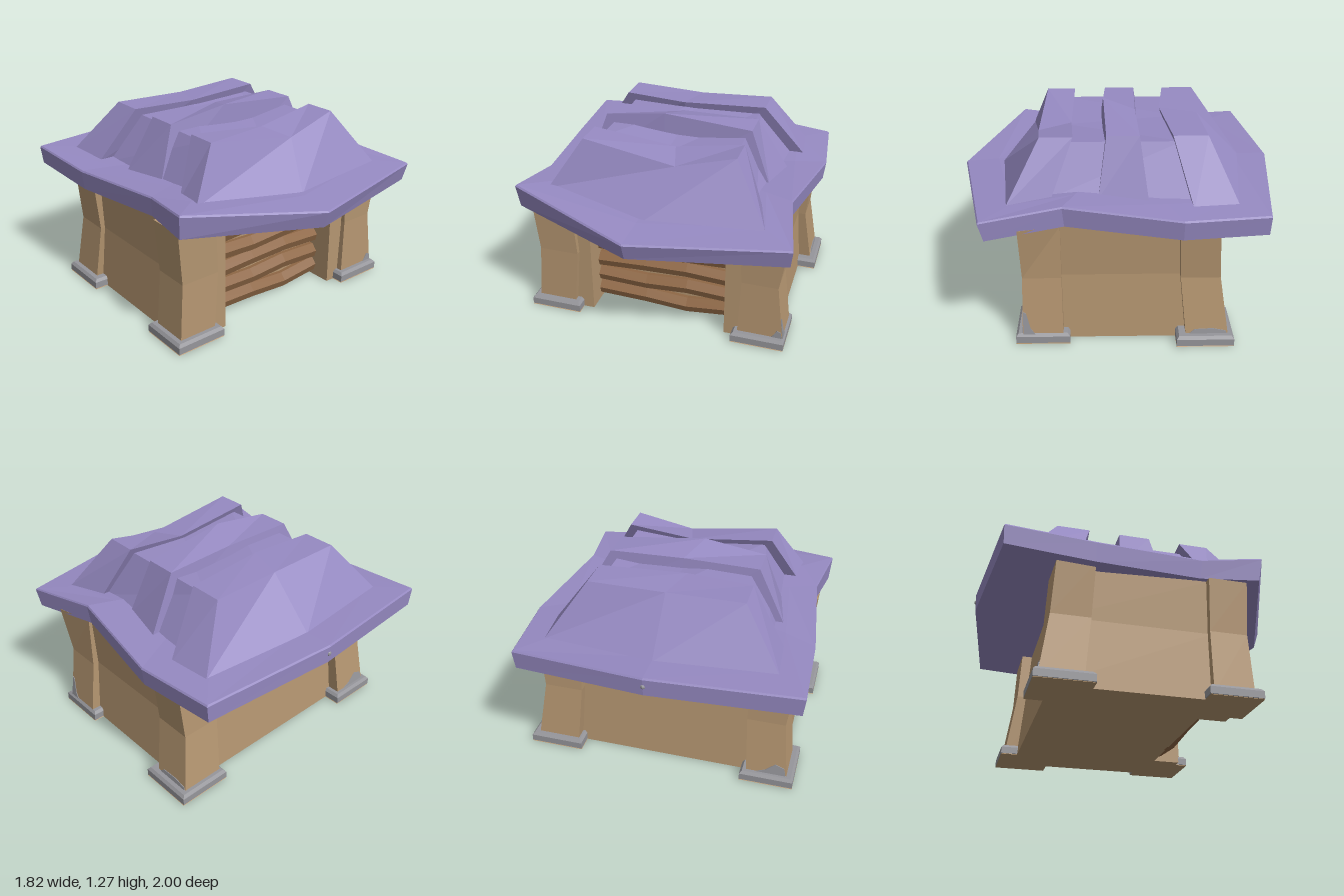
import * as THREE from 'three';

const mat = (name, color) => {
  const m = new THREE.MeshStandardMaterial({ color, flatShading: true });
  m.name = name;
  return m;
};

// Closed solid from rings of [x, y, z] points, counter-clockwise seen from the last ring's side.
// Caps are fans about the centre, or strips for six-point ridge outlines.
function loft(rings) {
  const pos = [];
  const tri = (a, b, c) => pos.push(...a, ...b, ...c);
  const n = rings[0].length;
  const centre = (r) => [0, 1, 2].map((k) => r.reduce((s, p) => s + p[k], 0) / n);
  const cap = (r) => {
    if (n === 6) {
      for (const [a, b, c, d] of [[0, 1, 4, 5], [1, 2, 3, 4]]) {
        tri(r[a], r[b], r[c]);
        tri(r[a], r[c], r[d]);
      }
    } else {
      const c = centre(r);
      r.forEach((p, i) => tri(c, p, r[(i + 1) % n]));
    }
  };
  for (let k = 0; k < rings.length - 1; k++) {
    const a = rings[k], b = rings[k + 1];
    for (let i = 0; i < n; i++) {
      const j = (i + 1) % n;
      tri(a[i], a[j], b[j]);
      tri(a[i], b[j], b[i]);
    }
  }
  cap(rings[rings.length - 1]);
  const first = rings[0], c0 = centre(first);
  first.forEach((p, i) => tri(c0, first[(i + 1) % n], p));
  const g = new THREE.BufferGeometry();
  g.setAttribute('position', new THREE.Float32BufferAttribute(pos, 3));
  g.computeVertexNormals();
  return g;
}

// Four-sided ring at height y; xb is the +x limit on the back edge
const rect = (y, x0, x1, z0, z1, xb = x1) => [[x0, y, z1], [x1, y, z1], [xb, y, z0], [x0, y, z0]];

export function createModel() {
  const group = new THREE.Group();
  const purple = mat('roof purple', 0x968ac2);
  const tan = mat('wall tan', 0xb59671);
  const brown = mat('plank brown', 0x8e6745);
  const grey = mat('stone grey', 0x96969b);
  const add = (name, geometry, material) => {
    const mesh = new THREE.Mesh(geometry, material);
    mesh.name = name;
    group.add(mesh);
    return mesh;
  };

  // Roof slab: rim points as x, z, bottom y, top y
  const rim = [
    [-0.87, 0.67, 0.78, 0.935], [-0.05, 0.995, 0.73, 0.845], [0.89, 0.795, 0.73, 0.855],
    [0.8, 0.32, 0.775, 0.905], [0.91, -0.38, 0.735, 0.86], [0.86, -0.885, 0.74, 0.865],
    [0, -1, 0.79, 0.91], [-0.91, -0.92, 0.77, 0.895], [-0.89, -0.38, 0.745, 0.875],
    [-0.81, 0.3, 0.775, 0.905],
  ];
  const rimRing = (s, y) => rim.map((p) => [p[0] * s, y(p), p[1] * s]);
  add('roofSlab', loft([
    rim.map(([x, z, y]) => [x * 0.985, y, z * (z > 0 ? 0.965 : 0.995)]),
    rimRing(1, (p) => p[3] - 0.01),
    rimRing(0.992, (p) => p[3]),
    rimRing(0.78, (p) => p[3] * 0.6 + 0.36),
  ]), purple);

  // Roof ridges: base and top outlines, front-left to front-right, then back
  add('roofCore', loft([
    [[-0.6, 0.86, 0.42], [0, 0.86, 0.42], [0.6, 0.86, 0.42], [0.66, 0.86, -0.45], [0, 0.86, -0.45], [-0.64, 0.86, -0.45]],
    [[-0.44, 1.165, 0.32], [0, 1.12, 0.32], [0.44, 1.165, 0.32], [0.44, 1.165, -0.4], [0, 1.175, -0.4], [-0.44, 1.165, -0.4]],
  ]), purple);
  add('frontRidge', loft([
    [[-0.69, 0.9, 0.58], [-0.02, 0.855, 0.745], [0.7, 0.87, 0.65], [0.63, 0.88, 0.39], [0, 0.88, 0.39], [-0.67, 0.88, 0.39]],
    [[-0.49, 1.21, 0.46], [0.11, 1.12, 0.49], [0.48, 1.21, 0.46], [0.48, 1.21, 0.26], [0.05, 1.15, 0.28], [-0.49, 1.21, 0.27]],
  ]), purple);
  add('middleRidge', loft([
    [[-0.61, 0.87, 0.11], [-0.08, 0.87, 0.11], [0.62, 0.87, 0.11], [0.68, 0.87, -0.19], [0, 0.87, -0.19], [-0.67, 0.87, -0.19]],
    [[-0.49, 1.215, 0.06], [-0.09, 1.27, 0.075], [0.48, 1.215, 0.06], [0.48, 1.215, -0.14], [0, 1.22, -0.13], [-0.49, 1.215, -0.14]],
  ]), purple);
  add('backRidge', loft([
    [[-0.72, 0.87, -0.45], [0, 0.87, -0.4], [0.75, 0.86, -0.45], [0.72, 0.87, -0.72], [0, 0.9, -0.82], [-0.74, 0.88, -0.75]],
    [[-0.49, 1.215, -0.34], [-0.07, 1.21, -0.29], [0.48, 1.215, -0.34], [0.48, 1.215, -0.55], [0, 1.2, -0.53], [-0.49, 1.215, -0.55]],
  ]), purple);

  // Small stud on the back rim
  add('rimStud', new THREE.SphereGeometry(0.018, 8, 6), grey).position.set(0, 0.85, -0.988);

  // House body with slightly bent walls
  add('walls', loft([
    rect(0, -0.77, 0.78, -0.6, 0.36),
    rect(0.43, -0.75, 0.75, -0.56, 0.36),
    rect(0.78, -0.77, 0.77, -0.53, 0.36),
  ]), tan);

  // Corner posts: foot extent, then extents at bottom, middle and top (x0, x1, z0, z1)
  const posts = {
    frontRight: [[-0.86, -0.52, 0.29, 0.62], [-0.82, -0.565, 0.33, 0.58], [-0.79, -0.53, 0.335, 0.57], [-0.82, -0.55, 0.335, 0.58]],
    frontLeft: [[0.51, 0.85, 0.29, 0.62], [0.545, 0.84, 0.33, 0.58], [0.56, 0.79, 0.335, 0.57], [0.54, 0.845, 0.335, 0.58, 0.79]],
    backRight: [[-0.86, -0.52, -0.71, -0.36], [-0.82, -0.56, -0.68, -0.42], [-0.78, -0.54, -0.62, -0.38], [-0.82, -0.55, -0.6, -0.365]],
    backLeft: [[0.55, 0.9, -0.71, -0.36], [0.58, 0.86, -0.68, -0.42], [0.55, 0.8, -0.62, -0.38], [0.55, 0.83, -0.6, -0.365]],
  };
  for (const [name, [foot, low, mid, top]] of Object.entries(posts)) {
    add(name + 'Post', loft([
      rect(0, ...foot), rect(0.03, ...low), rect(0.43, ...mid), rect(0.775, ...top),
    ]), tan);
    const [x0, x1, z0, z1] = foot;
    add(name + 'Foot', loft([
      rect(0.006, x0, x1, z0, z1),
      rect(0.05, x0, x1, z0, z1),
      rect(0.068, x0 + 0.015, x1 - 0.015, z0 + 0.015, z1 - 0.015),
    ]), grey);
  }

  // Worn stone patches low on some posts: outline as (across, y), placed on the sloping face
  const patch = (name, outline, place) =>
    add(name, loft([-0.003, 0.004].map((d) => outline.map(([a, y]) => place(a, y, d)))), grey);
  patch('backLeftPatch', [[-0.43, 0.06], [-0.67, 0.06], [-0.66, 0.085], [-0.58, 0.1], [-0.47, 0.095]],
    (a, y, d) => [0.86 - 0.15 * (y - 0.03) + d, y, a]);
  patch('backRightPatch', [[-0.6, 0.06], [-0.81, 0.06], [-0.8, 0.12], [-0.74, 0.14], [-0.68, 0.09]],
    (a, y, d) => [a, y, -0.68 + 0.15 * (y - 0.03) - d]);
  patch('frontLeftPatch', [[0.76, 0.06], [0.835, 0.06], [0.825, 0.11], [0.8, 0.12], [0.78, 0.085]],
    (a, y, d) => [a, y, 0.58 - 0.025 * (y - 0.03) + d]);
  patch('frontLeftSidePatch', [[0.575, 0.06], [0.5, 0.06], [0.53, 0.1], [0.555, 0.2], [0.573, 0.21]],
    (a, y, d) => [0.84 - 0.125 * (y - 0.03) + d, y, a]);

  // Door jambs between posts and planks
  for (const s of [-1, 1]) {
    const jamb = add(s < 0 ? 'rightJamb' : 'leftJamb', new THREE.BoxGeometry(0.13, 0.77, 0.2), tan);
    jamb.position.set(s * 0.515, 0.385, 0.44);
  }

  // Crooked door planks: bevelled sections swept across the doorway
  const xs = [-0.46, -0.12, 0.16, 0.46];
  const bends = [
    [0.01, 0, -0.02, 0.01], [0, -0.012, 0.005, -0.01], [-0.01, 0.005, 0.012, -0.005],
    [0, -0.016, 0, 0.01], [-0.012, 0.005, 0.016, -0.01], [0.01, -0.005, -0.01, 0.005],
  ];
  bends.forEach((bend, i) => {
    const y = 0.072 + i * 0.122;
    const section = (x, k) => [
      [0.05, 0.35], [0.05, 0.385], [0.005, 0.425], [-0.042, 0.41], [-0.055, 0.375], [-0.055, 0.35],
    ].map(([dy, z]) => [x, y + bend[k] + dy, z]);
    add('doorPlank' + (i + 1), loft(xs.map(section)), brown);
  });
  return group;
}
